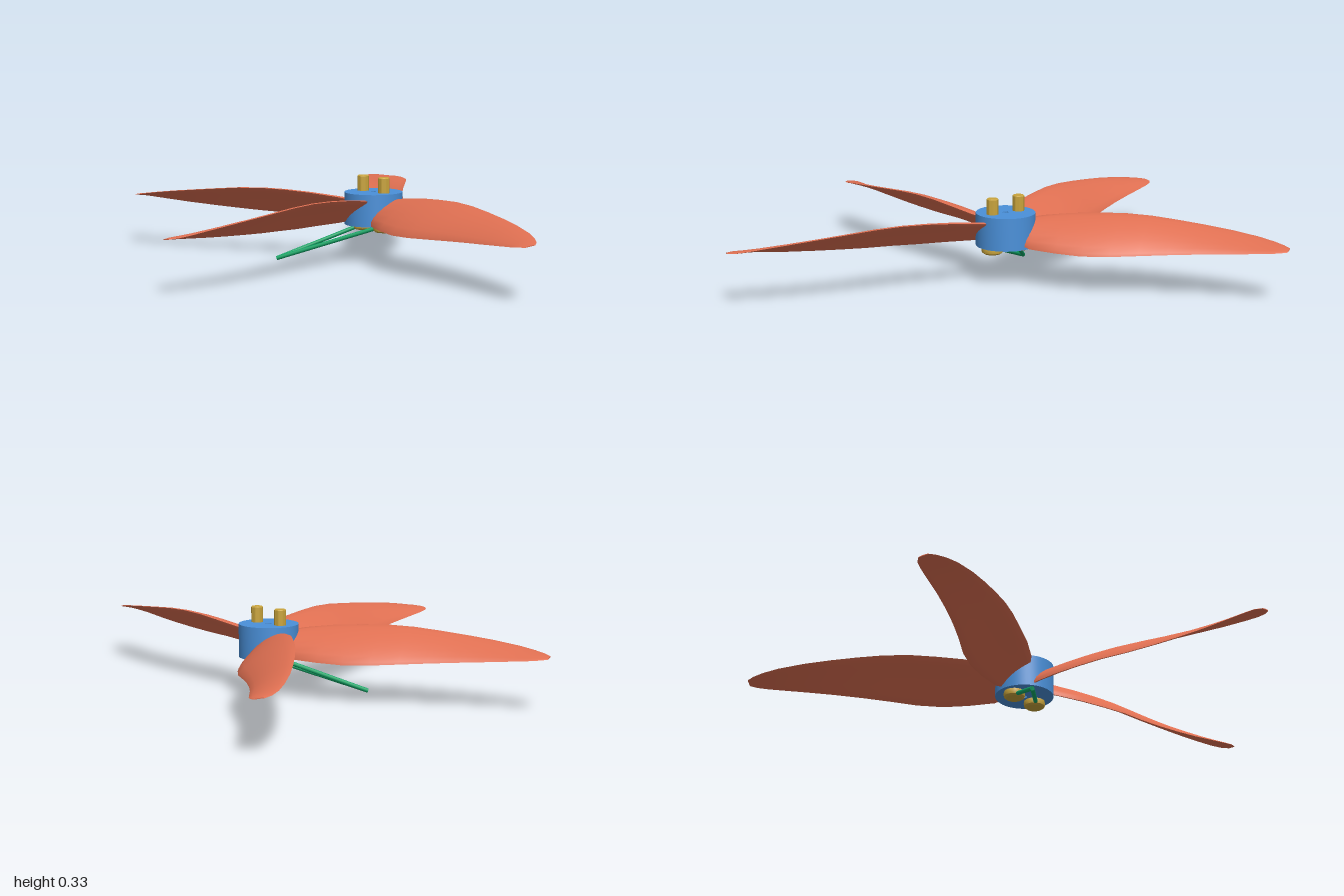
import * as THREE from 'three';
import { toCreasedNormals } from 'three/addons/utils/BufferGeometryUtils.js';

const orange = new THREE.MeshStandardMaterial({ name: 'orange', color: 0xe07052 });
const blue = new THREE.MeshStandardMaterial({ name: 'blue', color: 0x4a90d9 });
const brass = new THREE.MeshStandardMaterial({ name: 'brass', color: 0xc9a43c });
const green = new THREE.MeshStandardMaterial({ name: 'green', color: 0x10a566 });

const HUB_X = -0.03, HUB_Z = -0.12;

function part(name, geometry, material, parent) {
  const mesh = new THREE.Mesh(geometry, material);
  mesh.name = name;
  parent.add(mesh);
  return mesh;
}

// Lathe with crisp edges from [radius, y] pairs
function turned(points, segments) {
  const profile = points.map(([r, y]) => new THREE.Vector2(r, y));
  return toCreasedNormals(new THREE.LatheGeometry(profile, segments), 0.6);
}

// Twisted blade along +z: z, low edge x, high edge x, low y, high y, half thickness
const SECTIONS = [
  [0.06, -0.04, 0.05, 0.165, 0.24, 0.016],
  [0.12, -0.065, 0.08, 0.155, 0.252, 0.016],
  [0.22, -0.075, 0.105, 0.152, 0.264, 0.016],
  [0.32, -0.075, 0.12, 0.15, 0.271, 0.015],
  [0.42, -0.06, 0.137, 0.154, 0.274, 0.014],
  [0.52, -0.03, 0.15, 0.16, 0.27, 0.013],
  [0.62, -0.005, 0.158, 0.167, 0.261, 0.011],
  [0.72, 0.015, 0.162, 0.174, 0.251, 0.009],
  [0.82, 0.03, 0.162, 0.181, 0.24, 0.008],
  [0.92, 0.04, 0.154, 0.189, 0.227, 0.006],
  [0.98, 0.046, 0.142, 0.194, 0.217, 0.005],
  [1.02, 0.053, 0.126, 0.198, 0.21, 0.004],
  [1.045, 0.068, 0.106, 0.2, 0.206, 0.002],
];

function bladeGeometry() {
  const N = 16, pos = [], index = [];
  for (const [z, xl, xh, yl, yh, th] of SECTIONS) {
    const hx = (xh - xl) / 2, hy = (yh - yl) / 2, len = Math.hypot(hx, hy);
    for (let j = 0; j < N; j++) {
      const a = (j / N) * Math.PI * 2, c = Math.cos(a), s = Math.sin(a);
      // Cambered lens: fuller on the upper face
      const off = s * th * (s > 0 ? 1 : 0.7) + 0.6 * th * s * s;
      pos.push((xl + xh) / 2 + c * hx - (hy / len) * off, (yl + yh) / 2 + c * hy + (hx / len) * off, z);
    }
  }
  const last = (SECTIONS.length - 1) * N;
  for (let i = 0; i < last; i += N) {
    for (let j = 0; j < N; j++) {
      const k = (j + 1) % N;
      index.push(i + j, i + k, i + N + j, i + k, i + N + k, i + N + j);
    }
  }
  for (let j = 1; j < N - 1; j++) index.push(0, j + 1, j, last, last + j, last + j + 1);
  const g = new THREE.BufferGeometry();
  g.setAttribute('position', new THREE.Float32BufferAttribute(pos, 3));
  g.setIndex(index);
  return toCreasedNormals(g, 0.9);
}

export function createModel() {
  const model = new THREE.Group();
  model.name = 'propeller';
  const rotor = new THREE.Group();
  rotor.name = 'rotor';
  rotor.position.set(HUB_X, 0, HUB_Z);
  model.add(rotor);

  // Hub with a centre bore
  part('hub', turned([[0.011, 0.148], [0.111, 0.148], [0.111, 0.271], [0.011, 0.271], [0.011, 0.148]], 48), blue, rotor);

  // Four blades on five-fold spacing, one position left empty
  const blade = bladeGeometry();
  for (const k of [1, 0, -1, -2]) {
    part('blade', blade, orange, rotor).rotation.y = (k * Math.PI * 2) / 5;
  }

  // Bolts: wide rounded head below, shank through the hub
  const bolt = turned([[0, 0.121], [0.031, 0.121], [0.039, 0.127], [0.041, 0.137], [0.039, 0.148],
    [0.022, 0.148], [0.022, 0.327], [0.019, 0.33], [0, 0.33]], 24);
  for (const x of [-0.057, 0.058]) part('bolt', bolt, brass, rotor).position.x = x;

  // Thin rods meeting in a V below the hub
  const tip = new THREE.Vector3(-0.288, 0.012, 0.146);
  for (const end of [new THREE.Vector3(-0.085, 0.14, -0.11), new THREE.Vector3(0.025, 0.143, -0.11)]) {
    const rod = part('rod', new THREE.CylinderGeometry(0.008, 0.008, tip.distanceTo(end), 12), green, model);
    rod.position.copy(tip).lerp(end, 0.5);
    rod.quaternion.setFromUnitVectors(new THREE.Vector3(0, 1, 0), end.clone().sub(tip).normalize());
  }
  return model;
}
